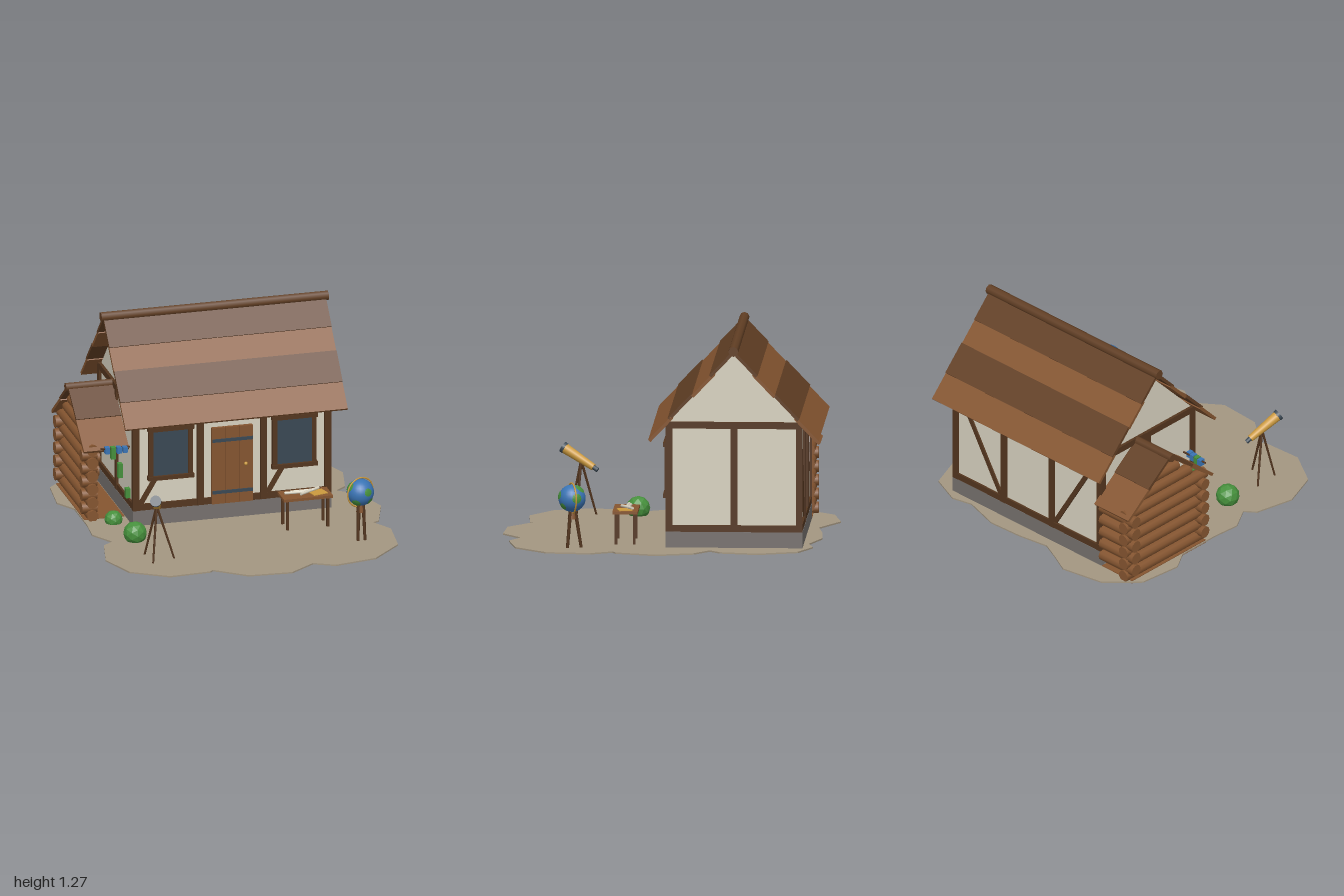
import * as THREE from 'three';

const mat = (name, color, opts = {}) => {
  const m = new THREE.MeshStandardMaterial({ color, ...opts });
  m.name = name;
  return m;
};

export function createModel() {
  const earth = mat('earth', 0xa39681), stone = mat('stone', 0x76716e), plaster = mat('plaster', 0xd8d2c0);
  const beam = mat('darkTimber', 0x54361f), darkRoof = mat('darkBoard', 0x623f24), wood = mat('wood', 0x855530);
  const slate = mat('slate', 0x3a4854), blue = mat('blue', 0x3a74b4), gold = mat('brass', 0xcc9a3e);
  const green = mat('leafGreen', 0x46903c, { flatShading: true });
  const root = new THREE.Group();

  const group = (name, parent = root) => {
    const g = new THREE.Group();
    g.name = name;
    parent.add(g);
    return g;
  };
  const add = (name, geo, material, parent = root) => {
    const m = new THREE.Mesh(geo, material);
    m.name = name;
    parent.add(m);
    return m;
  };
  // Box given by its low and high corners
  const box = (name, x0, x1, y0, y1, z0, z1, material, parent) => {
    const m = add(name, new THREE.BoxGeometry(x1 - x0, y1 - y0, z1 - z0), material, parent);
    m.position.set((x0 + x1) / 2, (y0 + y1) / 2, (z0 + z1) / 2);
    return m;
  };
  // Round rod from a to b
  const rod = (name, a, b, r0, r1, sides, material, parent) => {
    const p = new THREE.Vector3(...a), q = new THREE.Vector3(...b), d = q.clone().sub(p);
    const m = add(name, new THREE.CylinderGeometry(r1, r0, d.length(), sides), material, parent);
    m.position.copy(p).add(q).multiplyScalar(0.5);
    m.quaternion.setFromUnitVectors(new THREE.Vector3(0, 1, 0), d.normalize());
    return m;
  };

  // Ground patch, outline as x, z pairs
  const outline = [[-0.45, -1], [-0.33, -0.94], [-0.2, -0.88], [0, -0.91], [0.22, -0.92], [0.45, -0.85], [0.58, -0.88],
    [0.77, -0.8], [0.86, -0.56], [0.81, -0.33], [0.74, -0.27], [0.86, -0.18], [0.93, 0.05], [0.85, 0.29], [0.81, 0.31],
    [0.885, 0.44], [0.855, 0.71], [0.665, 0.9], [0.405, 0.95], [0.28, 0.885], [0.12, 1], [-0.145, 0.985], [-0.33, 0.84],
    [-0.35, 0.86], [-0.605, 0.875], [-0.82, 0.74], [-0.905, 0.51], [-0.85, 0.265], [-0.785, 0.215], [-0.87, 0.07],
    [-0.855, -0.1], [-0.855, -0.385], [-0.93, -0.51], [-0.9, -0.775], [-0.72, -0.95]];
  const groundShape = new THREE.Shape(outline.map(([x, z]) => new THREE.Vector2(x, -z)));
  add('ground', new THREE.ExtrudeGeometry(groundShape, { depth: 0.009, bevelEnabled: false }).rotateX(-Math.PI / 2), earth)
    .position.y = 0.031;

  // House body
  const house = group('house');
  const X0 = -0.595, X1 = 0.635, CX = 0.02, CZ = -0.41;
  box('foundation', X0, X1, 0.028, 0.135, -0.82, 0, stone, house);
  box('walls', X0 + 0.015, X1 - 0.015, 0.13, 0.79, -0.805, -0.015, plaster, house);
  const tri = new THREE.Shape([new THREE.Vector2(-0.395, 0.79), new THREE.Vector2(0.395, 0.79), new THREE.Vector2(0, 1.205)]);
  const gable = add('gables', new THREE.ExtrudeGeometry(tri, { depth: 1.19, bevelEnabled: false }), plaster, house);
  gable.rotation.y = Math.PI / 2;
  gable.position.set(CX - 0.595, 0, CZ);

  // Timber frame
  const frame = group('timberFrame', house);
  for (const z of [-0.02, -0.8]) {
    for (const x of [-0.575, -0.177, 0.217, 0.615]) box('post', x - 0.02, x + 0.02, 0.135, 0.8, z - 0.02, z + 0.02, beam, frame);
    for (const y of [0.155, 0.78]) box('rail', X0, X1, y - 0.02, y + 0.02, z - 0.018, z + 0.018, beam, frame);
  }
  for (const x of [-0.575, 0.615]) {
    box('sidePost', x - 0.02, x + 0.02, 0.135, 0.8, CZ - 0.02, CZ + 0.02, beam, frame);
    for (const y of [0.155, 0.78]) box('sideRail', x - 0.018, x + 0.018, y - 0.02, y + 0.02, -0.82, 0, beam, frame);
  }
  const brace = (xLow, xHigh, z) => {
    const dx = xHigh - xLow, dy = 0.59;
    const m = add('brace', new THREE.BoxGeometry(0.03, Math.hypot(dx, dy), 0.03), beam, frame);
    m.position.set((xLow + xHigh) / 2, 0.465, z);
    m.rotation.z = -Math.atan2(dx, dy);
  };
  brace(-0.55, -0.2, -0.02);
  brace(0.24, 0.59, -0.02);
  brace(-0.2, -0.55, -0.8);
  brace(0.24, 0.59, -0.8);

  // Windows
  for (const x of [-0.363, 0.405]) {
    const w = group('window', house);
    box('pane', x - 0.115, x + 0.115, 0.34, 0.645, -0.01, 0.002, slate, w);
    for (const s of [-1, 1]) box('jamb', x + s * 0.122 - 0.014, x + s * 0.122 + 0.014, 0.335, 0.65, -0.015, 0.012, beam, w);
    box('lintel', x - 0.142, x + 0.142, 0.635, 0.66, -0.015, 0.02, beam, w);
    box('sill', x - 0.142, x + 0.142, 0.325, 0.35, -0.015, 0.02, beam, w);
  }

  // Door with straps and knob
  const door = group('door', house);
  for (let i = 0; i < 3; i++) box('plank', -0.107 + i * 0.085, -0.024 + i * 0.085, 0.135, 0.62, -0.02, 0.008, wood, door);
  for (const y of [0.21, 0.54]) box('strap', -0.105, 0.146, y - 0.01, y + 0.01, 0.006, 0.014, slate, door);
  add('knob', new THREE.SphereGeometry(0.011, 10, 8), gold, door).position.set(0.1, 0.38, 0.018);

  // Pitched roof of alternating boards, mirrored about its ridge
  const roof = (name, x0, x1, ridgeY, ridgeZ, drop, run, bands) => {
    const g = group(name);
    g.position.set((x0 + x1) / 2, ridgeY, ridgeZ);
    for (const turn of [0, Math.PI]) {
      const side = group('roofSide', g), slope = group('roofSlope', side);
      side.rotation.y = turn;
      slope.rotation.x = Math.atan2(drop, run);
      const len = Math.hypot(drop, run);
      for (const [t0, t1, dark] of bands) {
        box('roofBoard', (x0 - x1) / 2, (x1 - x0) / 2, dark ? -0.017 : -0.024, dark ? 0.002 : -0.005,
          t0 * len, t1 * len, dark ? darkRoof : wood, slope);
      }
    }
    return g;
  };
  roof('houseRoof', -0.67, 0.71, 1.245, CZ, 0.54, 0.515, [[0, 0.28, 1], [0.25, 0.5, 0], [0.49, 0.765, 1], [0.74, 1, 0]]);
  rod('houseRidge', [-0.685, 1.24, CZ], [0.725, 1.24, CZ], 0.03, 0.03, 8, darkRoof);

  // Log lean-to
  const shed = group('logShed');
  const SZ = -0.5;
  roof('shedRoof', -0.865, -0.585, 0.79, SZ, 0.29, 0.375, [[0, 0.52, 1], [0.48, 1, 0]]);
  rod('shedRidge', [-0.88, 0.777, SZ], [-0.585, 0.777, SZ], 0.027, 0.027, 8, darkRoof, shed);
  box('shedFloor', -0.85, -0.6, 0.024, 0.044, -0.82, -0.18, wood, shed);
  for (let i = 0; i < 8; i++) {
    const y = 0.07 + i * 0.084, half = Math.min(0.35, (0.74 - y) / 0.773 + (i === 5 ? 0.03 : 0));
    rod('sideLog', [-0.805, y, SZ - half], [-0.805, y, SZ + half], 0.036, 0.036, 10, wood, shed);
    if (i < 5) {
      rod('backLog', [-0.865, y + 0.042, -0.8], [-0.59, y + 0.042, -0.8], 0.038, 0.038, 10, wood, shed);
      rod('frontLogEnd', [-0.865, y + 0.042, -0.2], [-0.77, y + 0.042, -0.2], 0.036, 0.036, 10, wood, shed);
    }
  }

  // Cloths hung at the shed front
  const line = group('hangingCloths');
  rod('clothRail', [-0.77, 0.515, -0.1], [-0.59, 0.515, -0.1], 0.006, 0.006, 6, beam, line);
  [[-0.73, 0.485, 0.525, blue], [-0.695, 0.45, 0.525, green], [-0.66, 0.485, 0.525, blue],
    [-0.655, 0.33, 0.42, green], [-0.625, 0.49, 0.525, blue], [-0.61, 0.2, 0.26, green]].forEach(([x, y0, y1, m], i) =>
    box('cloth', x - 0.014, x + 0.014, y0, y1, -0.115 + 0.004 * i, -0.08 + 0.004 * i, m, line));

  // Bushes and low tufts
  for (const [x, y, z, r] of [[-0.645, 0.085, 0.225, 0.072], [-0.69, 0.06, -0.1, 0.055], [-0.17, 0.035, -0.21, 0.035],
    [0.33, 0.04, -0.3, 0.03], [-0.4, 0.045, -0.63, 0.035], [-0.1, 0.04, -0.73, 0.03]]) {
    add('bush', new THREE.IcosahedronGeometry(r, 1), green).position.set(x, y, z);
  }

  // Table with scrolls and a chart
  const table = group('table');
  box('tableTop', 0.253, 0.558, 0.225, 0.242, 0.172, 0.323, wood, table);
  for (const x of [0.28, 0.53]) for (const z of [0.193, 0.302]) box('tableLeg', x - 0.008, x + 0.008, 0.035, 0.226, z - 0.008, z + 0.008, beam, table);
  const chart = box('chart', 0.435, 0.53, 0.242, 0.246, 0.215, 0.295, gold, table);
  chart.rotation.y = 0.25;
  rod('scroll', [0.28, 0.251, 0.235], [0.42, 0.251, 0.245], 0.009, 0.009, 8, plaster, table);
  rod('scroll', [0.37, 0.251, 0.275], [0.5, 0.255, 0.205], 0.009, 0.009, 8, plaster, table);
  rod('scroll', [0.32, 0.251, 0.222], [0.46, 0.255, 0.232], 0.008, 0.008, 8, plaster, table);

  // Globe on a stand
  const globe = group('globe');
  globe.position.set(0.662, 0.338, 0.56);
  add('sphere', new THREE.SphereGeometry(0.082, 24, 16), blue, globe);
  for (const [x, y, z, a] of [[0.35, 0.25, 0.9, 0.3], [-0.5, -0.6, 0.65, 0.34], [0.55, -0.5, 0.6, 0.28], [-0.8, 0.5, 0.1, 0.4],
    [0.2, 0.75, -0.6, 0.4], [0.9, 0.1, -0.4, 0.36], [-0.4, -0.1, -0.9, 0.42]]) {
    const land = add('land', new THREE.SphereGeometry(0.085, 10, 4, 0, Math.PI * 2, 0, a), green, globe);
    land.quaternion.setFromUnitVectors(new THREE.Vector3(0, 1, 0), new THREE.Vector3(x, y, z).normalize());
  }
  add('ring', new THREE.TorusGeometry(0.091, 0.005, 6, 36), gold, globe).rotation.y = 0.33;
  rod('standHub', [0, -0.125, 0], [0, -0.075, 0], 0.026, 0.02, 8, wood, globe);
  for (let i = 0; i < 3; i++) {
    const a = i * Math.PI * 2 / 3 + 0.5, c = Math.cos(a), s = Math.sin(a);
    rod('standLeg', [c * 0.025, -0.3, s * 0.055], [c * 0.018, -0.08, s * 0.02], 0.009, 0.011, 6, beam, globe);
  }

  // Telescope on a tripod
  const scope = group('telescope');
  rod('eyepiece', [-0.572, 0.322, 0.465], [-0.58, 0.338, 0.49], 0.014, 0.014, 12, slate, scope);
  rod('tube', [-0.58, 0.338, 0.49], [-0.636, 0.442, 0.662], 0.021, 0.031, 14, gold, scope);
  rod('lensRing', [-0.636, 0.442, 0.662], [-0.641, 0.452, 0.678], 0.034, 0.034, 14, slate, scope);
  for (const [x, z] of [[-0.655, 0.475], [-0.5, 0.59], [-0.645, 0.635]]) {
    rod('tripodLeg', [x, 0.036, z], [-0.604, 0.375, 0.565], 0.006, 0.008, 6, beam, scope);
  }
  return root;
}
